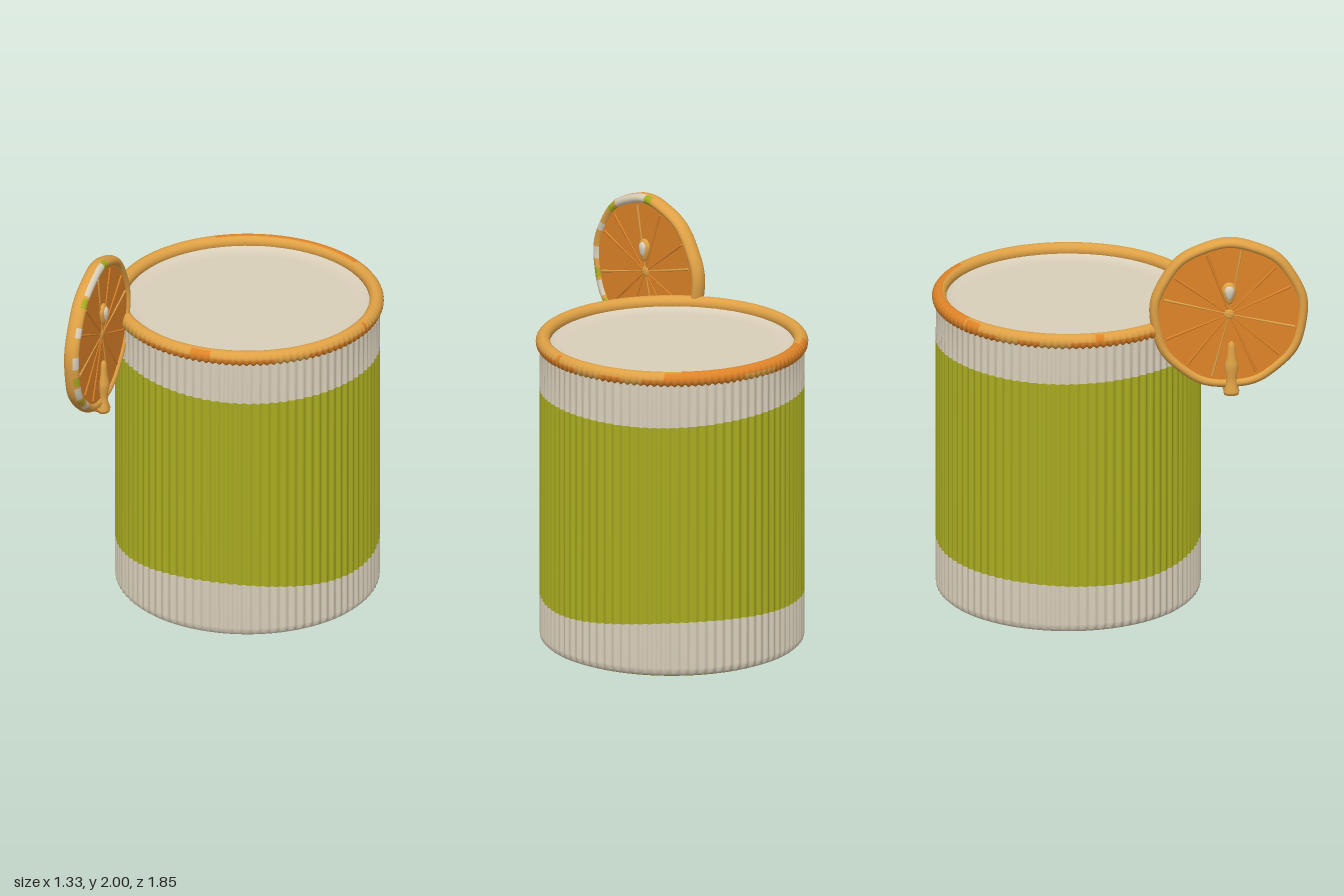
import * as THREE from 'three';

const mat = (name, color) => {
  const m = new THREE.MeshStandardMaterial({ color });
  m.name = name;
  return m;
};

// Grid running round the y axis; point(a, row) gives a position, pick(a, row) a material index.
function ringGrid(nu, rows, closed, point, pick) {
  const pos = [], quads = [];
  for (let j = 0; j < rows; j++)
    for (let i = 0; i < nu; i++) pos.push(...point((i / nu) * Math.PI * 2, j));
  for (let j = 0; j < (closed ? rows : rows - 1); j++) {
    const k = (j + 1) % rows;
    for (let i = 0; i < nu; i++) {
      const n = (i + 1) % nu, a = j * nu + i, b = j * nu + n, c = k * nu + n, d = k * nu + i;
      const m = pick(((i + 0.5) / nu) * Math.PI * 2, j);
      (quads[m] ||= []).push(a, b, c, a, c, d);
    }
  }
  const g = new THREE.BufferGeometry(), index = [];
  quads.forEach((q, m) => {
    g.addGroup(index.length, q.length, m);
    for (const v of q) index.push(v);
  });
  g.setAttribute('position', new THREE.Float32BufferAttribute(pos, 3));
  g.setIndex(index);
  g.computeVertexNormals();
  return g;
}

export function createModel() {
  const cream = mat('cream', 0xd9cfba);
  const lime = mat('lime green', 0xa9ab20);
  const orange = mat('orange', 0xdf8428);
  const peelColor = mat('light orange', 0xdfa145);
  const root = new THREE.Group();
  const add = (parent, name, geometry, material) => {
    const mesh = new THREE.Mesh(geometry, material);
    mesh.name = name;
    parent.add(mesh);
    return mesh;
  };

  const cup = new THREE.Group();
  cup.name = 'cup';
  cup.position.set(-0.003, 0, -0.266);
  root.add(cup);

  // Ribbed wall with a wavy green band
  const low = a => 0.262 + 0.022 * Math.cos(2 * a) + 0.012 * Math.sin(3 * a + 0.6);
  const high = a => 1.293 - 0.016 * Math.sin(a) + 0.006 * Math.cos(3 * a + 2);
  const wallRow = (a, j) => [
    [0.605, 0.006], [0.625, 0.01], [0.638, 0.025], [0.642, 0.05],
    [0.642, low(a)], [0.642, high(a)], [0.642, 1.52],
  ][j];
  add(cup, 'ribbedWall', ringGrid(900, 7, false, (a, j) => {
    const [r, y] = wallRow(a, j);
    const rr = r + (j > 1 ? 0.005 : 0) * (j === 6 ? 0.4 : 1) * Math.cos(90 * a);
    return [rr * Math.sin(a), y, rr * Math.cos(a)];
  }, (a, j) => (j === 4 ? 1 : 0)), [cream, lime]);

  // Green underside
  const base = add(cup, 'base', new THREE.CylinderGeometry(0.615, 0.6, 0.015, 96), lime);
  base.position.y = 0.0075;

  // Drink surface, curling up where it meets the rim
  const drink = [[0.62, 1.53], [0.6, 1.515], [0.575, 1.503], [0.52, 1.498], [0, 1.5]];
  add(cup, 'drinkSurface', new THREE.LatheGeometry(
    drink.map(p => new THREE.Vector2(...p)), 96), cream).material.side = THREE.DoubleSide;

  // Sugared rim: rounded ring with a toothed lower edge and darker patches
  add(cup, 'rim', ringGrid(480, 16, true, (a, j) => {
    const t = (j / 16) * Math.PI * 2;
    const tooth = Math.cos(120 * a) * 0.5 + 0.5;
    const outer = Math.max(0, Math.cos(t + 0.6));
    const r = 0.627 + 0.033 * Math.cos(t) + 0.006 * tooth * outer;
    const y = 1.527 + 0.033 * Math.sin(t) - 0.01 * tooth * Math.max(0, -Math.sin(t));
    return [r * Math.sin(a), y, r * Math.cos(a)];
  }, (a, j) => {
    const back = Math.cos(a - Math.PI - 0.1);
    const patch = 0.5 * Math.sin(5 * a + 1) + 0.3 * Math.sin(13 * a);
    if (j > 10) return patch > -0.3 ? 1 : 0;
    return back > 0.75 + 0.1 * patch && j < 5 || (patch > 0.6 && j < 3) ? 1 : 0;
  }), [peelColor, orange]);

  // Citrus slice, its faces looking along local x
  const slice = new THREE.Group();
  slice.name = 'citrusSlice';
  slice.position.set(-0.413, 1.605, 0.535);
  slice.rotation.y = 0.125;
  root.add(slice);

  // Peel; angle 0 points towards the front (+z), a quarter turn points up
  const whitePatches = [[0.05, 0.1], [0.45, 0.07], [1.25, 0.3], [-0.45, 0.1], [-0.85, 0.06]];
  const greenPatches = [[0.85, 0.05], [1.62, 0.06], [-0.25, 0.06], [-0.65, 0.05]];
  const inside = (list, a) => list.some(([c, w]) => Math.abs(Math.atan2(Math.sin(a - c), Math.cos(a - c))) < w);
  const peel = ringGrid(144, 16, true, (a, j) => {
    const t = (j / 16) * Math.PI * 2;
    const r = 0.362 + 0.026 * Math.cos(t) + 0.003 * Math.sin(9 * a);
    return [0.038 * Math.sin(t), r * Math.sin(a), r * Math.cos(a)];
  }, (a, j) => {
    if (j < 1 || j > 6) return 0;
    return inside(whitePatches, a) ? 1 : inside(greenPatches, a) ? 2 : 0;
  });
  // The grid's ring is laid in the yz plane here, so its corners run the other way
  const idx = peel.index.array;
  for (let i = 0; i < idx.length; i += 3) [idx[i + 1], idx[i + 2]] = [idx[i + 2], idx[i + 1]];
  peel.computeVertexNormals();
  const p0 = peel.attributes.position, n0 = peel.attributes.normal;
  // Make sure the outermost ring faces outwards
  if (p0.getY(36) * n0.getY(36) + p0.getZ(36) * n0.getZ(36) < 0) {
    for (let i = 0; i < idx.length; i += 3) [idx[i + 1], idx[i + 2]] = [idx[i + 2], idx[i + 1]];
    peel.computeVertexNormals();
  }
  add(slice, 'peel', peel, [peelColor, cream, lime]);

  // Pulp disc
  const pulp = new THREE.CylinderGeometry(0.36, 0.36, 0.05, 72).rotateZ(Math.PI / 2);
  add(slice, 'pulp', pulp, orange);

  // Details repeated on both faces
  for (const s of [-1, 1]) {
    // Membranes between the segments
    for (let k = 0; k < 12; k++) {
      const a = (k / 12) * Math.PI * 2 + 0.18 + 0.08 * Math.sin(k * 2.3);
      const bar = new THREE.CylinderGeometry(0.007, 0.003, 0.31, 6).translate(0, 0.175, 0);
      const m = add(slice, 'membrane', bar, k % 3 === 0 ? peelColor : orange);
      m.position.x = s * 0.025;
      m.rotation.x = a;
    }
    const core = add(slice, 'core', new THREE.SphereGeometry(0.026, 16, 10), peelColor);
    core.scale.x = 0.3;
    core.position.x = s * 0.025;

    // Seed: pale teardrop in a light orange surround
    for (const [name, m, size, x] of [['seedSurround', peelColor, 1, 0.03], ['seed', cream, 0.68, 0.039]]) {
      const g = new THREE.SphereGeometry(0.037, 24, 16);
      const p = g.attributes.position;
      for (let i = 0; i < p.count; i++) {
        const y = p.getY(i);
        if (y < 0) p.setXYZ(i, p.getX(i), y * 1.7, p.getZ(i) * (1 + y * 8));
      }
      g.computeVertexNormals();
      const seed = add(slice, name, g, m);
      seed.scale.set(0.5, size * 1.15, size);
      seed.position.set(s * x, 0.125, 0);
    }

    // Drip: slim at the top, swelling downwards and hooking under the peel
    const drip = [[0, -0.135], [0.014, -0.145], [0.019, -0.17], [0.02, -0.21], [0.032, -0.25],
      [0.034, -0.28], [0.024, -0.32], [0.026, -0.36], [0.04, -0.395], [0.036, -0.412], [0, -0.416]];
    const g = new THREE.LatheGeometry(drip.reverse().map(p => new THREE.Vector2(...p)), 24);
    const d = add(slice, 'drip', g, peelColor);
    d.scale.x = 0.8;
    d.position.set(s * 0.037, 0, 0.01);
  }
  const hook = add(slice, 'dripHook', new THREE.CapsuleGeometry(0.02, 0.08, 6, 16).rotateZ(Math.PI / 2), orange);
  hook.scale.z = 1.9;
  hook.position.set(0, -0.396, 0.01);

  return root;
}
